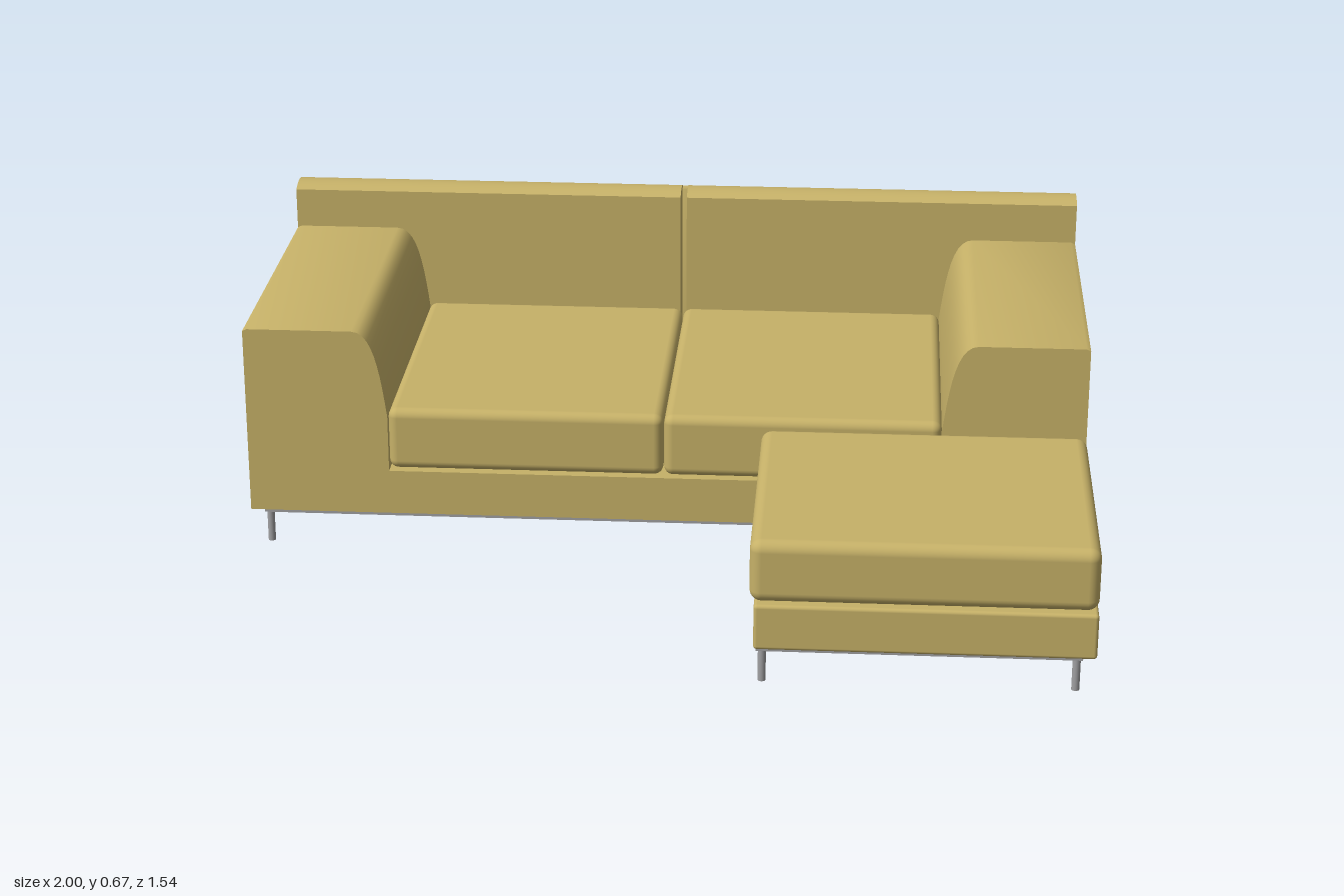
import * as THREE from 'three';
import { toCreasedNormals } from 'three/addons/utils/BufferGeometryUtils.js';
import { RoundedBoxGeometry } from 'three/addons/geometries/RoundedBoxGeometry.js';

const fabric = new THREE.MeshStandardMaterial({ color: 0xc6b168 });
fabric.name = 'mustard fabric';
const metal = new THREE.MeshStandardMaterial({ color: 0xa0a0a2 });
metal.name = 'grey metal';

export function createModel() {
  const group = new THREE.Group();
  group.name = 'cornerSofa';

  const add = (name, geometry, material = fabric) => {
    const mesh = new THREE.Mesh(geometry, material);
    mesh.name = name;
    group.add(mesh);
    return mesh;
  };
  // Extruded shape with smooth curves and sharp corners
  const extrude = (shape, depth) => toCreasedNormals(
    new THREE.ExtrudeGeometry(shape, { depth, bevelEnabled: false, curveSegments: 10 }), 0.6);
  // Rounded box given by its limits on each axis
  const padded = (name, [x0, x1], [y0, y1], [z0, z1], r) =>
    add(name, new RoundedBoxGeometry(x1 - x0, y1 - y0, z1 - z0, 4, r))
      .position.set((x0 + x1) / 2, (y0 + y1) / 2, (z0 + z1) / 2);

  // Base and both arms: one U-shaped front profile
  const body = new THREE.Shape();
  body.moveTo(-1, 0.09);
  body.lineTo(1, 0.09);
  body.lineTo(1, 0.55);
  body.lineTo(0.99, 0.555);
  body.lineTo(0.74, 0.555);
  body.bezierCurveTo(0.69, 0.555, 0.675, 0.46, 0.66, 0.34);
  body.lineTo(0.66, 0.2);
  body.lineTo(-0.66, 0.2);
  body.lineTo(-0.66, 0.34);
  body.bezierCurveTo(-0.675, 0.46, -0.69, 0.555, -0.74, 0.555);
  body.lineTo(-0.99, 0.555);
  body.lineTo(-1, 0.55);
  body.closePath();
  add('baseAndArms', extrude(body, 0.765)).position.z = -0.67;

  // Backrest: side profile (drawn with -z to the right) run along x
  const backPanel = (name, x0, x1, front, top) => {
    const s = new THREE.Shape();
    s.moveTo(front, 0.09);
    s.lineTo(0.73, 0.09);
    s.quadraticCurveTo(0.77, 0.095, 0.77, 0.14);
    s.lineTo(0.77, top - 0.012);
    s.quadraticCurveTo((front + 0.77) / 2, top + 0.012, front, top - 0.012);
    s.closePath();
    const mesh = add(name, extrude(s, x1 - x0));
    mesh.rotation.y = Math.PI / 2;
    mesh.position.x = x0;
  };
  backPanel('rightBackrest', -1, -0.008, 0.67, 0.665);
  backPanel('leftBackrest', 0.008, 1, 0.67, 0.665);
  backPanel('backrestSeam', -0.008, 0.008, 0.755, 0.655);

  // Seat cushions
  padded('rightSeatCushion', [-0.66, -0.001], [0.203, 0.357], [-0.67, 0.093], 0.022);
  padded('leftSeatCushion', [0.001, 0.66], [0.203, 0.357], [-0.67, 0.093], 0.022);

  // Chaise section
  padded('chaiseBase', [0.245, 1], [0.084, 0.192], [0.085, 0.77], 0.008);
  padded('chaiseCushion', [0.235, 1], [0.196, 0.343], [0.108, 0.77], 0.026);

  // L-shaped frame rail under the sofa: outline and inset hole in (x, -z)
  const outline = (w) => [
    [-0.97 + w, 0.745 - w], [-0.97 + w, -0.08 + w], [0.25 + w, -0.08 + w],
    [0.25 + w, -0.76 + w], [0.97 - w, -0.76 + w], [0.97 - w, 0.745 - w],
  ].map(([x, y]) => new THREE.Vector2(x, y));
  const rail = new THREE.Shape(outline(0));
  rail.holes.push(new THREE.Path(outline(0.028)));
  const railMesh = add('frameRail', extrude(rail, 0.014), metal);
  railMesh.rotation.x = -Math.PI / 2;
  railMesh.position.y = 0.077;

  // Legs at every corner of the frame
  const legGeometry = new THREE.CylinderGeometry(0.009, 0.009, 0.08, 16);
  const legs = [[-0.957, -0.73], [0.957, -0.73], [-0.957, 0.07], [0.27, 0.07],
    [0.957, 0.07], [0.264, 0.746], [0.957, 0.746]];
  for (const [x, z] of legs) add('leg', legGeometry, metal).position.set(x, 0.04, z);

  return group;
}
